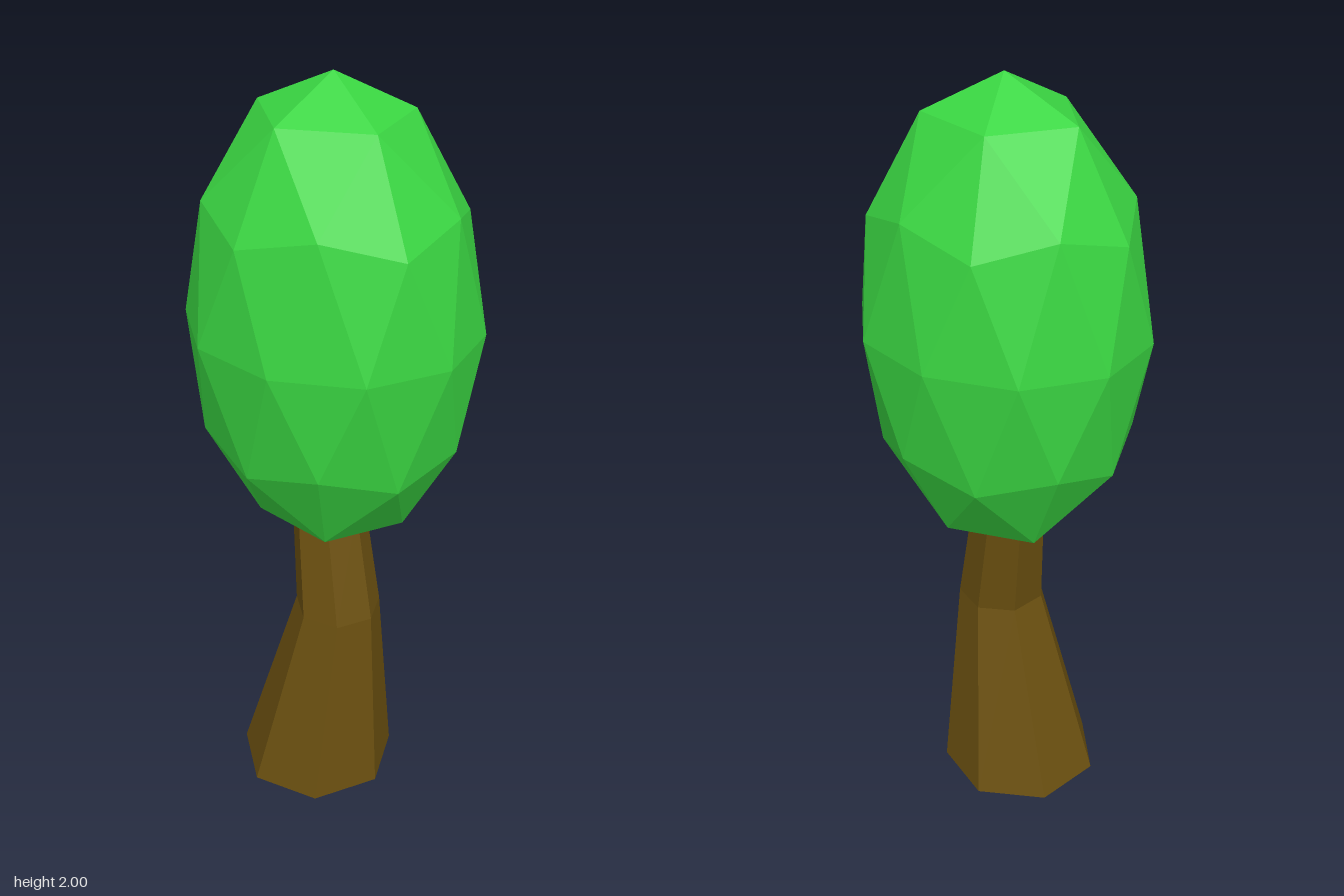
import * as THREE from 'three';

const makeMesh = (name, geometry, color) => {
  const mesh = new THREE.Mesh(geometry, new THREE.MeshStandardMaterial({ color, flatShading: true }));
  mesh.name = name;
  return mesh;
};

// Seven-sided trunk: each ring of a unit cylinder is moved to its own centre, height and radius
function trunkGeometry() {
  const rings = [
    { x: -0.04, y: 0, z: 0.026, r: 0.215 },
    { x: 0.028, y: 0.55, z: 0.03, r: 0.115 },
    { x: -0.02, y: 0.85, z: -0.007, r: 0.097 },
  ];
  const geometry = new THREE.CylinderGeometry(1, 1, 2, 7, 2, false, Math.PI);
  const pos = geometry.attributes.position;
  for (let i = 0; i < pos.count; i++) {
    const ring = rings[Math.round(pos.getY(i) + 1)];
    pos.setXYZ(i, ring.x + pos.getX(i) * ring.r, ring.y, ring.z + pos.getZ(i) * ring.r);
  }
  geometry.computeVertexNormals();
  return geometry;
}

// Faceted crown: icosphere turned so that a corner points straight up, then stretched
function crownGeometry() {
  const geometry = new THREE.IcosahedronGeometry(1, 1);
  geometry.rotateZ(Math.atan(2 / (1 + Math.sqrt(5))));
  geometry.scale(0.378, 0.625, 0.338);
  geometry.translate(0, 1.375, 0);
  geometry.computeVertexNormals();
  return geometry;
}

export function createModel() {
  const tree = new THREE.Group();
  tree.name = 'tree';
  tree.add(makeMesh('trunk', trunkGeometry(), 0x6b5010));
  tree.add(makeMesh('crown', crownGeometry(), 0x3ad642));
  return tree;
}
